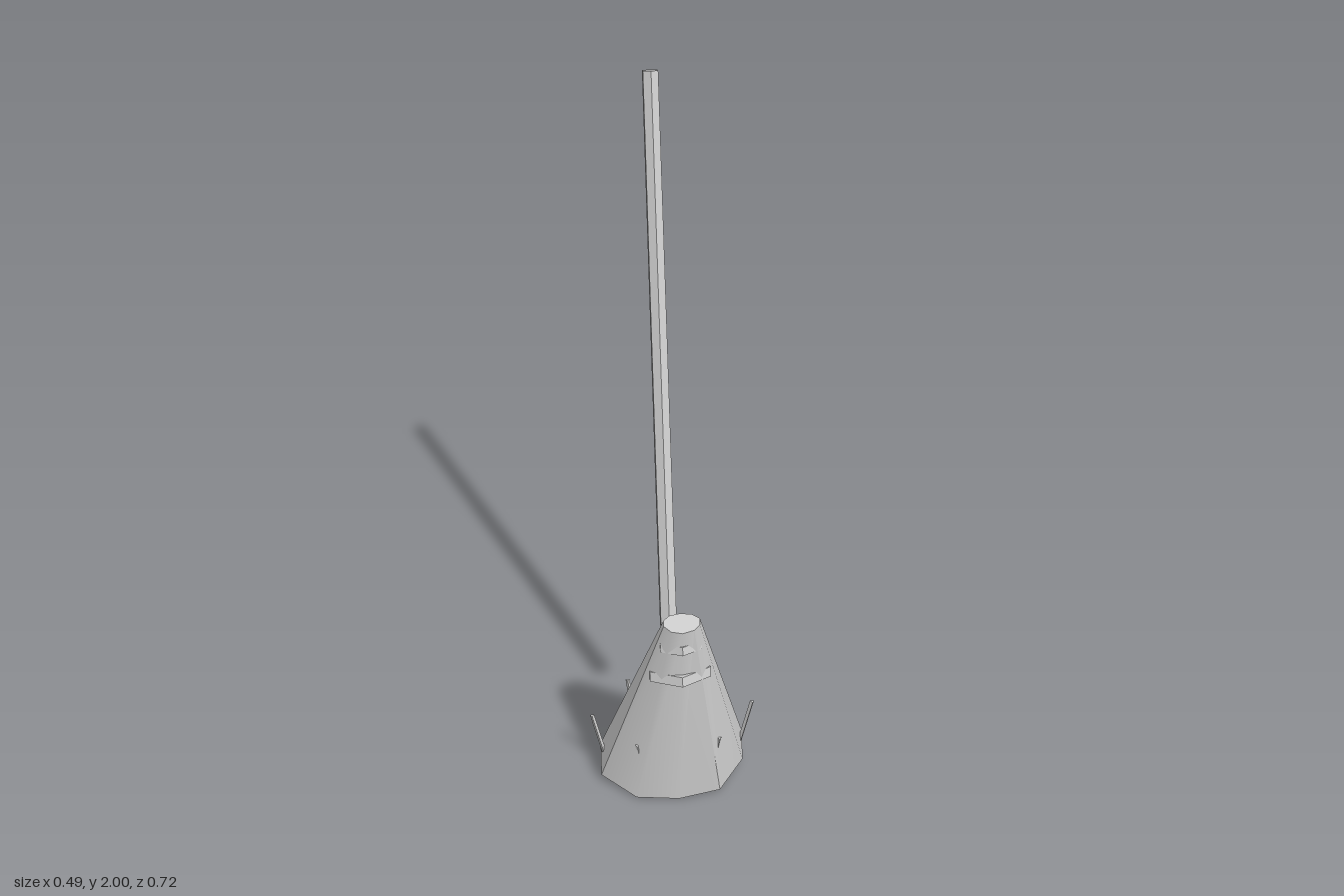
import * as THREE from 'three';
import { toCreasedNormals } from 'three/addons/utils/BufferGeometryUtils.js';

const V = (x, y, z) => new THREE.Vector3(x, y, z);
const UP = V(0, 1, 0);
const TILT = 0.25; // backward lean: y drops by this much per unit of z

export function createModel() {
  const group = new THREE.Group();
  const grey = new THREE.MeshStandardMaterial({ color: 0xcccccc });

  const add = (geometry, name) => {
    const mesh = new THREE.Mesh(geometry, grey);
    mesh.name = name;
    group.add(mesh);
    return mesh;
  };

  // Straight faceted rod between two points
  const rod = (name, a, b, rTop, rBottom, sides) => {
    const dir = b.clone().sub(a);
    const geo = new THREE.CylinderGeometry(rTop, rBottom, dir.length(), sides).toNonIndexed();
    geo.computeVertexNormals();
    const mesh = add(geo, name);
    mesh.position.copy(a).add(b).multiplyScalar(0.5);
    mesh.quaternion.setFromUnitVectors(UP, dir.normalize());
    return mesh;
  };

  // Handle
  rod('handle', V(0, 0.457, 0.047), V(0, 1.994, -0.34), 0.0228, 0.027, 6);

  // Bristle head: two ten-sided outlines [x, z], counter-clockwise from the back
  const lower = [[-0.01, 0], [-0.135, 0.025], [-0.215, 0.1], [-0.222, 0.205], [-0.125, 0.288],
    [0, 0.305], [0.125, 0.288], [0.208, 0.195], [0.221, 0.1], [0.14, 0.025]];
  const upper = [[0, 0.285], [-0.03, 0.29], [-0.047, 0.305], [-0.048, 0.322], [-0.03, 0.342],
    [0, 0.35], [0.033, 0.342], [0.05, 0.326], [0.053, 0.306], [0.033, 0.29]];
  const low = lower.map(([x, z]) => V(x, 0.08 - TILT * z, z));
  const high = upper.map(([x, z]) => V(x, 0.705 - TILT * (z - 0.285), z));
  const lowMid = V(0, 0.08 - TILT * 0.15, 0.15);
  const highMid = V(0, 0.705 - TILT * 0.033, 0.318);
  const points = [];
  for (let i = 0; i < low.length; i++) {
    const j = (i + 1) % low.length;
    points.push(low[i], low[j], high[j], low[i], high[j], high[i]);
    points.push(highMid, high[i], high[j], lowMid, low[j], low[i]);
  }
  const head = new THREE.BufferGeometry().setFromPoints(points);
  add(toCreasedNormals(head, 0.6), 'bristleHead');

  // Six-sided binding bands whose corners stand out at front and back
  const lean = V(0, 1, -TILT).normalize();
  const band = (name, y, z, r, h) => {
    const c = V(0, y, z);
    rod(name, c.clone().addScaledVector(lean, -h / 2), c.clone().addScaledVector(lean, h / 2), r, r, 6);
  };
  band('lowerBand', 0.495, 0.263, 0.098, 0.03);
  band('upperBand', 0.612, 0.291, 0.066, 0.026);

  // Loose straws splayed around the lower head
  for (let i = 0; i < 6; i++) {
    const a = Math.PI / 6 + (i * Math.PI) / 3;
    const s = Math.sin(a), c = Math.cos(a);
    rod('straw', V(0.207 * s, 0.06, 0.147 + 0.133 * c), V(0.24 * s, 0.22, 0.147 + 0.16 * c), 0.007, 0.007, 3);
  }
  return group;
}
